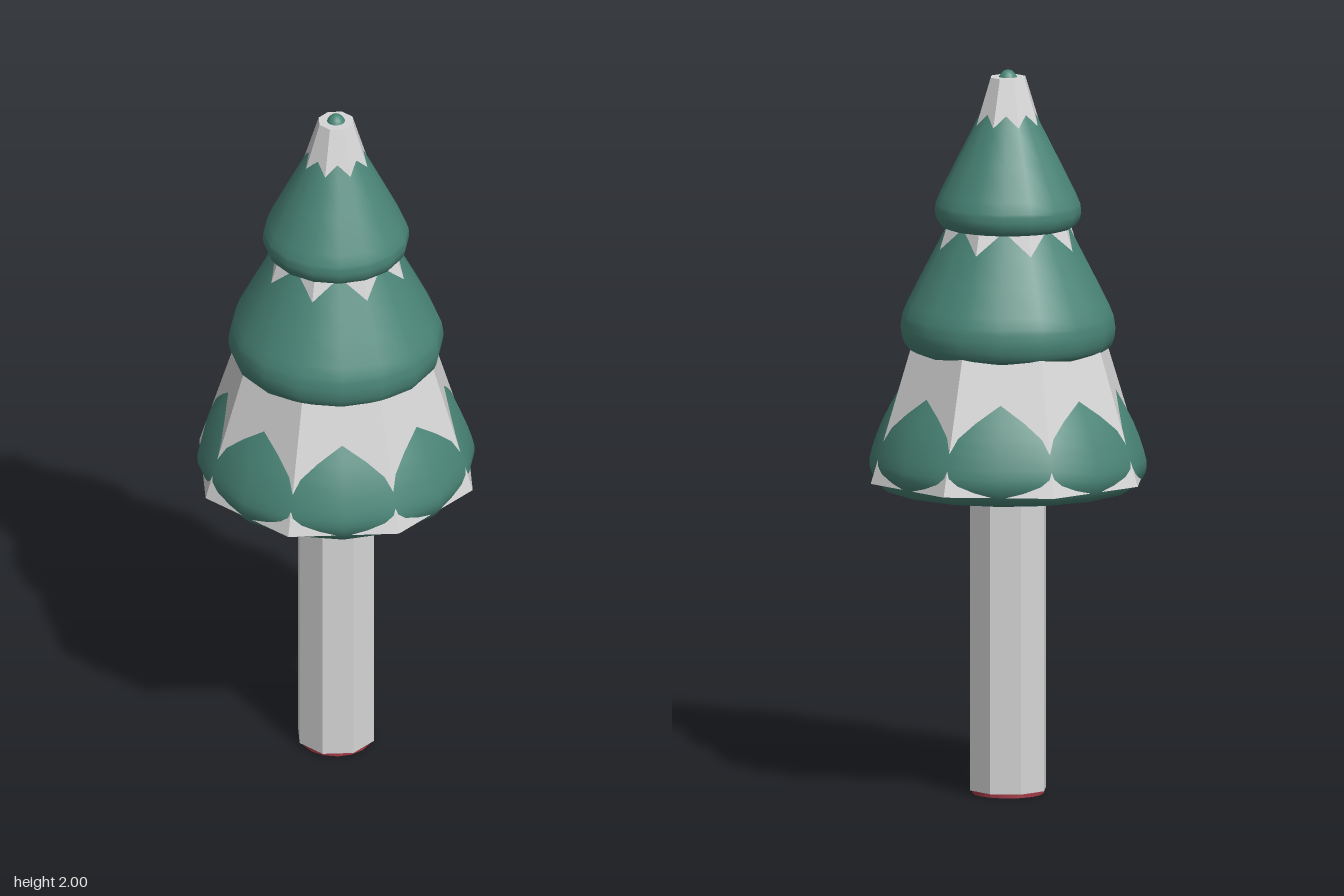
import * as THREE from 'three';

export function createModel() {
  const tree = new THREE.Group();
  tree.name = 'tree';

  const grey = new THREE.MeshStandardMaterial({ color: 0xd6d6d6 });
  grey.name = 'pale grey';
  grey.flatShading = true;
  const green = new THREE.MeshStandardMaterial({ color: 0x4a8577 });
  green.name = 'pine green';
  const red = new THREE.MeshStandardMaterial({ color: 0xa23a46 });
  red.name = 'dull red';

  const add = (name, geometry, material, y = 0) => {
    const mesh = new THREE.Mesh(geometry, material);
    mesh.name = name;
    mesh.position.y = y;
    tree.add(mesh);
  };

  // Tapered column of given radii between two heights
  const column = (rTop, rBottom, y0, y1, sides) =>
    new THREE.CylinderGeometry(rTop, rBottom, y1 - y0, sides).translate(0, (y0 + y1) / 2, 0);

  // Thin foot: red rim with a grey underside
  add('foot', column(0.098, 0.098, 0, 0.014, 16), [red, grey, grey]);

  // Octagonal trunk and the octagonal core showing between the branches
  add('trunk', column(0.11, 0.11, 0.012, 0.88, 8), grey);
  add('core', column(0.05, 0.395, 0.875, 1.98, 8), grey);

  // Rounded branch tiers, profiles as [radius, height] from the inner lip upwards
  const tiers = {
    lowerBranches: [[0.27, 0.885], [0.28, 0.86], [0.31, 0.845], [0.345, 0.849], [0.367, 0.872],
      [0.379, 0.905], [0.372, 0.95], [0.343, 1.03], [0.294, 1.12], [0.22, 1.25]],
    middleBranches: [[0.2, 1.245], [0.215, 1.23], [0.245, 1.222], [0.268, 1.228], [0.284, 1.242],
      [0.293, 1.275], [0.291, 1.31], [0.276, 1.355], [0.197, 1.51], [0.14, 1.62]],
    upperBranches: [[0.13, 1.59], [0.145, 1.573], [0.165, 1.566], [0.186, 1.572], [0.198, 1.595],
      [0.199, 1.62], [0.186, 1.66], [0.093, 1.845], [0.073, 1.885], [0.035, 1.955],
      [0.024, 1.982], [0.013, 1.996], [0, 2]],
  };
  for (const [name, profile] of Object.entries(tiers)) {
    const curve = new THREE.SplineCurve(profile.map(([r, y]) => new THREE.Vector2(r, y)));
    const points = curve.getPoints((profile.length - 1) * 2);
    points.forEach((p) => { p.x = Math.max(p.x, 0); });
    add(name, new THREE.LatheGeometry(points, 16), green);
  }

  return tree;
}
